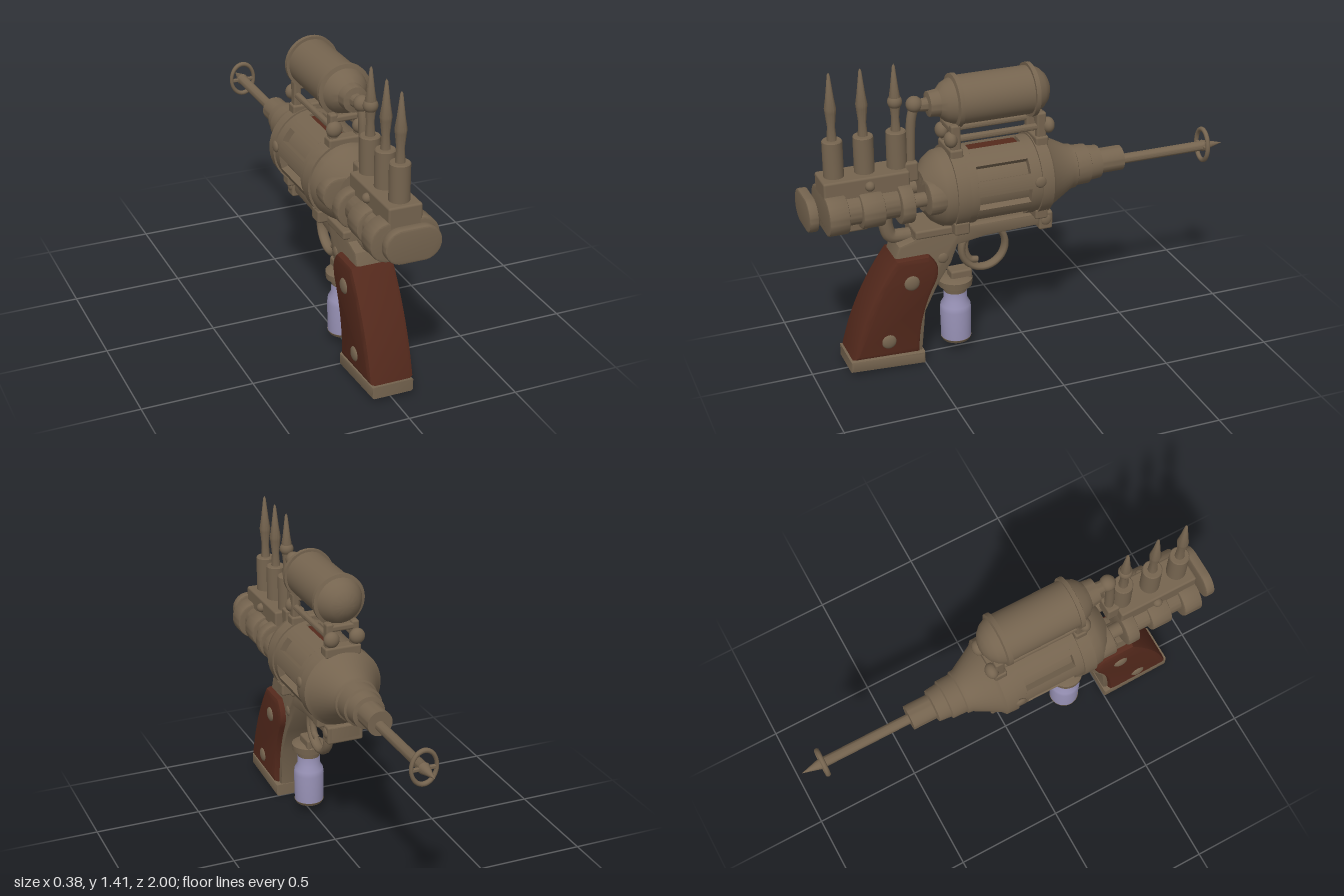
import * as THREE from 'three';
import { toCreasedNormals } from 'three/addons/utils/BufferGeometryUtils.js';
import { RoundedBoxGeometry } from 'three/addons/geometries/RoundedBoxGeometry.js';

export function createModel() {
  const model = new THREE.Group();
  const metal = new THREE.MeshStandardMaterial({ color: 0x75644f });
  metal.name = 'aged bronze';
  const wood = new THREE.MeshStandardMaterial({ color: 0x54291c });
  wood.name = 'dark wood';
  const glass = new THREE.MeshStandardMaterial({ color: 0x9791b5 });
  glass.name = 'lavender glass';
  const AXIS = 0.81;

  const add = (name, geo, mat = metal, x = 0, y = 0, z = 0) => {
    const m = new THREE.Mesh(geo, mat);
    m.name = name;
    m.position.set(x, y, z);
    model.add(m);
    return m;
  };
  const crease = (g) => toCreasedNormals(g, 0.6);
  // Turned part; points are [position along axis, radius]
  const latheY = (pts, seg = 32) =>
    crease(new THREE.LatheGeometry(pts.map(([a, r]) => new THREE.Vector2(r, a)), seg));
  const latheZ = (pts, seg = 40) => latheY(pts, seg).rotateX(Math.PI / 2);
  const box = (w, h, d, r = 0.01) => new RoundedBoxGeometry(w, h, d, 2, r);
  const ball = (r) => new THREE.SphereGeometry(r, 20, 14);
  const tube = (pts, r, closed = false) => new THREE.TubeGeometry(
    new THREE.CatmullRomCurve3(pts.map((p) => new THREE.Vector3(...p)), closed), 40, r, 12, closed);
  // Side outline of [z, y] points, thickened across x
  const sidePlate = (shape, width, bevel = 0.012) => {
    const depth = width - 2 * bevel;
    const g = new THREE.ExtrudeGeometry(shape, {
      depth, bevelEnabled: true, bevelThickness: bevel, bevelSize: bevel, bevelOffset: -bevel,
      bevelSegments: 2, curveSegments: 12 });
    return crease(g.translate(0, 0, -depth / 2).rotateY(-Math.PI / 2));
  };
  const outline = (pts) => new THREE.Shape(pts.map((p) => new THREE.Vector2(...p)));
  // Flat oval section with round sides, running along z
  const oval = (w, h, z0, z1, bevel = 0.008) => {
    const s = new THREE.Shape();
    const c = w - h, r = h - bevel;
    s.absarc(c, 0, r, -Math.PI / 2, Math.PI / 2);
    s.absarc(-c, 0, r, Math.PI / 2, Math.PI * 1.5);
    return crease(new THREE.ExtrudeGeometry(s, {
      depth: z1 - z0 - 2 * bevel, bevelThickness: bevel, bevelSize: bevel, bevelSegments: 2,
      curveSegments: 14 }).translate(0, 0, z0 + bevel));
  };

  // Drum: core, end sections and ribs between the slots
  add('drumCore', latheZ([[0, 0], [0, 0.145], [0.28, 0.145], [0.28, 0]]), metal, 0, AXIS, 0);
  add('drumRear', latheZ([[0.26, 0.13], [0.26, 0.176], [0.3, 0.176], [0.3, 0.184], [0.36, 0.184],
    [0.36, 0.174], [0.4, 0.168], [0.44, 0.14], [0.475, 0.09], [0.475, 0]]), metal, 0, AXIS, 0);
  add('noseCone', latheZ([[-0.48, 0], [-0.48, 0.057], [-0.37, 0.057], [-0.365, 0.075], [-0.31, 0.08],
    [-0.305, 0.09], [-0.24, 0.092], [-0.235, 0.1], [-0.215, 0.102], [-0.1, 0.165], [-0.085, 0.182],
    [-0.03, 0.184], [-0.03, 0.176], [0.02, 0.176], [0.02, 0.13]]), metal, 0, AXIS, 0);
  const slots = [-55, -10, 35, 90, 145, 190, 235, 305];
  for (let i = 0; i < 7; i++) {
    const a = THREE.MathUtils.degToRad(slots[i] + 11);
    const b = THREE.MathUtils.degToRad(slots[i + 1] - 11);
    const s = new THREE.Shape();
    s.absarc(0, 0, 0.176, a, b, false);
    s.absarc(0, 0, 0.135, b, a, true);
    add('drumRib', crease(new THREE.ExtrudeGeometry(s,
      { depth: 0.25, bevelEnabled: false, curveSegments: 10 })), metal, 0, AXIS, 0.015);
  }
  add('topInlay', box(0.065, 0.03, 0.23), wood, 0, 0.965, 0.14);
  add('drumBackPlate', oval(0.165, 0.075, 0.39, 0.475), metal, 0, AXIS, 0);

  // Barrel, oval muzzle ring and point
  add('barrel', latheZ([[-1, 0], [-0.9, 0.027], [-0.89, 0.023], [-0.47, 0.023]], 20), metal, 0, 0.8, 0);
  const ring = add('muzzleRing', new THREE.TorusGeometry(0.075, 0.011, 10, 36), metal, 0, 0.805, -0.9);
  ring.scale.set(0.76, 1, 1);
  add('ringBar', box(0.115, 0.016, 0.016, 0.004), metal, 0, 0.8, -0.9);

  // Overhead tank with flanges, neck and feed pipe
  add('tank', latheZ([[-0.125, 0], [-0.12, 0.035], [-0.105, 0.065], [-0.08, 0.09], [-0.05, 0.105],
    [-0.045, 0.12], [-0.025, 0.12], [-0.025, 0.107], [0.3, 0.107], [0.3, 0.118], [0.32, 0.118],
    [0.325, 0.1], [0.36, 0.085], [0.385, 0.06], [0.43, 0.055], [0.435, 0.03], [0.49, 0.025]]),
    metal, 0, 1.207, 0);
  add('feedBall', ball(0.036), metal, 0, 1.215, 0.49);
  add('feedPipe', tube([[0, 1.21, 0.49], [0, 1.15, 0.505], [0, 1.05, 0.512], [0, 0.92, 0.515]], 0.021));
  add('feedFoot', box(0.08, 0.09, 0.06), metal, 0, 0.92, 0.52);

  // Tank cradle
  for (const x of [-0.06, 0.06]) {
    add('cradleRail', latheZ([[-0.11, 0.015], [0.36, 0.015]], 12), metal, x, 1.053, 0);
    for (const z of [-0.1, 0.35]) {
      add('railKnob', ball(0.036), metal, x, 1.053, z).scale.z = 0.8;
    }
  }
  for (const z of [-0.065, 0.33]) {
    add('cradleFoot', box(0.17, 0.05, 0.06), metal, 0, 0.985, z);
    for (const x of [-0.06, 0.06]) add('cradlePost', box(0.035, 0.14, 0.045), metal, x, 1.05, z);
    add('cradleSaddle', box(0.13, 0.03, 0.045), metal, 0, 1.095, z);
  }

  // Rear chamber: oval core, collars, deck, end cap
  add('chamberCore', oval(0.12, 0.066, 0.54, 0.92), metal, 0, 0.8, 0);
  for (const [z0, z1, w, h] of [[0.83, 0.92, 0.155, 0.088], [0.67, 0.77, 0.145, 0.08], [0.54, 0.6, 0.155, 0.088]]) {
    add('chamberCollar', oval(w, h, z0, z1), metal, 0, 0.795, 0);
  }
  add('chamberDeck', box(0.15, 0.1, 0.38), metal, 0, 0.895, 0.73);
  add('chamberKeel', box(0.1, 0.04, 0.15), metal, 0, 0.71, 0.8);
  add('endCap', oval(0.125, 0.076, 0.957, 1), metal, 0, 0.808, 0);
  for (const x of [-0.07, 0.07]) {
    add('linkRod', latheZ([[0.45, 0.032], [0.56, 0.032]], 16), metal, x, 0.8, 0);
    for (const z of [0.72]) add('deckBolt', ball(0.022), metal, x * 1.1, 0.905, z);
  }

  // Upright sockets with spikes
  for (const z of [0.575, 0.72, 0.855]) {
    add('spikeSocket', latheY([[0.9, 0.044], [1.105, 0.044], [1.11, 0.04], [1.11, 0]], 24), metal, 0, 0, z);
    add('spike', latheY([[1.1, 0.022], [1.17, 0.017], [1.235, 0.024], [1.25, 0.026], [1.3, 0.018],
      [1.4, 0.006], [1.41, 0]], 16), metal, 0, 0, z);
  }
  add('spikeBead', ball(0.032), metal, 0, 1.24, 0.575);

  // Bent pipe under the chamber
  add('elbowPipe', tube([[0, 0.76, 0.635], [0, 0.67, 0.635], [0, 0.62, 0.615], [0, 0.61, 0.56], [0, 0.61, 0.5]], 0.032));

  // Frame, running back into the front strap of the grip
  add('frame', sidePlate(outline([[0.6, 0.59], [0.53, 0.61], [0.53, 0.655], [0.3, 0.655], [0.28, 0.635],
    [-0.12, 0.635], [-0.12, 0.58], [0.2, 0.57], [0.33, 0.55], [0.36, 0.47], [0.42, 0.38], [0.485, 0.25],
    [0.505, 0.05], [0.7, 0.06], [0.64, 0.4], [0.62, 0.53]]), 0.145));
  add('frameRail', box(0.19, 0.04, 0.24), metal, 0, 0.64, 0.41);
  add('frontLug', box(0.17, 0.085, 0.065), metal, 0, 0.6, -0.085);
  add('rearLug', box(0.28, 0.06, 0.07), metal, 0, 0.66, 0.33);
  add('noseLug', box(0.24, 0.05, 0.06), metal, 0, 0.655, -0.05);

  // Grip
  const grip = new THREE.Shape();
  grip.moveTo(0.62, 0.535);
  grip.lineTo(0.47, 0.535);
  grip.quadraticCurveTo(0.4, 0.47, 0.445, 0.39);
  grip.quadraticCurveTo(0.52, 0.25, 0.525, 0.065);
  grip.lineTo(0.835, 0.08);
  grip.quadraticCurveTo(0.78, 0.32, 0.62, 0.535);
  add('woodGrip', sidePlate(grip, 0.205, 0.022), wood);
  add('gripBase', sidePlate(outline([[0.845, 0.078], [0.5, 0.058], [0.5, 0], [0.845, 0.022]]), 0.195));

  // Domed screws on both sides: [z, y, x, radius]
  for (const [z, y, x, r] of [[0.556, 0.42, 0.1, 0.036], [0.67, 0.15, 0.1, 0.034],
    [0.4, 0.5, 0.07, 0.025], [-0.02, 0.84, 0.178, 0.026], [-0.085, 0.605, 0.083, 0.025]]) {
    for (const side of [-1, 1]) add('screw', ball(r), metal, x * side, y, z).scale.x = 0.42;
  }

  // Trigger and guard
  const guard = add('triggerGuard', new THREE.TorusGeometry(0.104, 0.016, 10, 40).rotateY(Math.PI / 2),
    metal, 0, 0.488, 0.185);
  guard.scale.x = 1.5;
  add('trigger', tube([[0, 0.57, 0.26], [0, 0.49, 0.272], [0, 0.435, 0.25], [0, 0.425, 0.215]], 0.015));

  // Hanging bottle
  add('bottleHanger', box(0.07, 0.05, 0.1), metal, 0, 0.375, 0.3);
  add('bottleCap', latheY([[0.29, 0], [0.29, 0.052], [0.32, 0.055], [0.325, 0.077], [0.355, 0.079],
    [0.365, 0.06], [0.365, 0]]), metal, 0, 0, 0.322);
  add('bottle', latheY([[0.06, 0.068], [0.2, 0.071], [0.225, 0.068], [0.25, 0.054], [0.3, 0.052]]), glass, 0, 0, 0.322);
  add('bottleFoot', latheY([[0.047, 0], [0.047, 0.062], [0.062, 0.07], [0.062, 0]]), metal, 0, 0, 0.322);

  return model;
}
